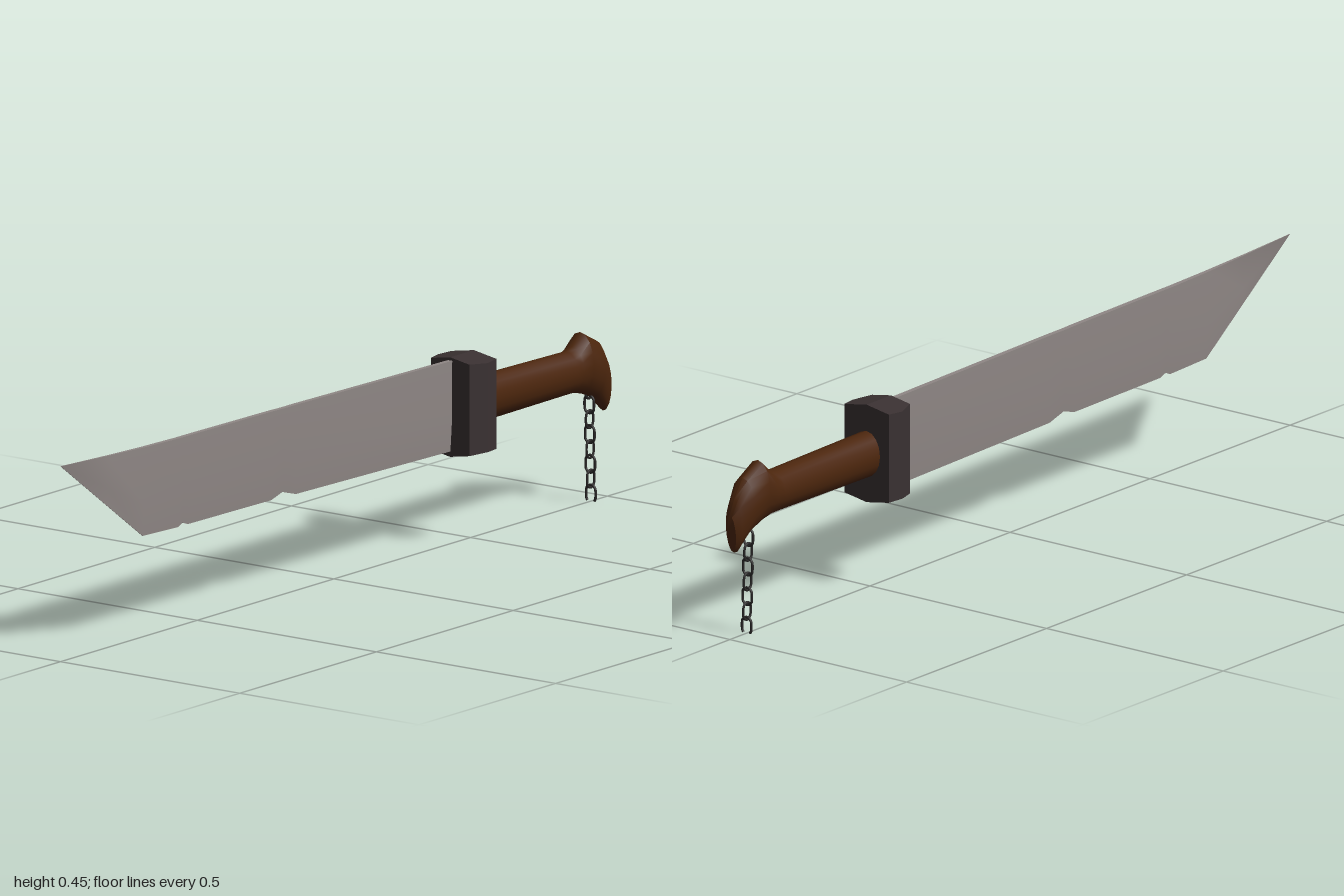
import * as THREE from 'three';
import { toCreasedNormals } from 'three/addons/utils/BufferGeometryUtils.js';

// Skins closed rings of [x, y, z] points (counter-clockwise seen from +z, listed from +z to -z).
function loft(rings, crease) {
  const n = rings[0].length;
  const index = [];
  for (let i = 0; i < rings.length - 1; i++) {
    for (let j = 0; j < n; j++) {
      const k = (j + 1) % n;
      const a = i * n + j, b = i * n + k, c = a + n, d = b + n;
      index.push(a, c, b, b, c, d);
    }
  }
  const last = (rings.length - 1) * n;
  for (let j = 1; j < n - 1; j++) {
    index.push(0, j, j + 1);
    index.push(last, last + j + 1, last + j);
  }
  const geometry = new THREE.BufferGeometry();
  geometry.setAttribute('position', new THREE.Float32BufferAttribute(rings.flat(2), 3));
  geometry.setIndex(index);
  return toCreasedNormals(geometry, crease);
}

// Oval chain link in the XY plane; a broken link keeps only its upper part.
function linkGeometry(broken) {
  const points = [];
  const steps = 20, r = 0.013, straight = 0.007;
  const from = broken ? -0.75 : 0;
  const sweep = broken ? Math.PI + 1.5 : Math.PI * 2;
  const count = broken ? steps + 1 : steps;
  for (let i = 0; i < count; i++) {
    const t = from + sweep * i / steps;
    points.push(new THREE.Vector3(r * Math.cos(t), r * Math.sin(t) + straight * Math.sign(Math.sin(t)), 0));
  }
  const path = new THREE.CatmullRomCurve3(points, !broken);
  return new THREE.TubeGeometry(path, 28, 0.003, 6, !broken);
}

export function createModel() {
  const steel = new THREE.MeshStandardMaterial({ name: 'steel', color: 0x8f8785 });
  const iron = new THREE.MeshStandardMaterial({ name: 'dark iron', color: 0x3a3132 });
  const wood = new THREE.MeshStandardMaterial({ name: 'brown wood', color: 0x4c260d });
  const chainMetal = new THREE.MeshStandardMaterial({ name: 'chain metal', color: 0x2c2a2a, side: THREE.DoubleSide });

  const model = new THREE.Group();
  model.name = 'machete';
  const add = (name, geometry, material, parent = model) => {
    const mesh = new THREE.Mesh(geometry, material);
    mesh.name = name;
    parent.add(mesh);
    return mesh;
  };

  // Blade stations: z, spine y, edge y, half thickness
  const blade = [
    [1.0, 0.448, 0.447, 0.0005],
    [0.83, 0.44, 0.325, 0.003],
    [0.7, 0.435, 0.232, 0.005],
    [0.57, 0.432, 0.228, 0.006],
    [0.555, 0.432, 0.235, 0.006],
    [0.535, 0.432, 0.228, 0.006],
    [0.23, 0.429, 0.225, 0.006],
    [0.19, 0.428, 0.236, 0.006],
    [0.165, 0.428, 0.229, 0.006],
    [0.14, 0.428, 0.222, 0.006],
    [-0.45, 0.42, 0.212, 0.006],
  ].map(([z, top, edge, w]) => {
    const mid = edge + (top - edge) * 0.35;
    return [
      [w * 0.15, edge, z], [w * 0.9, mid, z], [w, top - 0.0005, z],
      [-w, top - 0.0005, z], [-w * 0.9, mid, z], [-w * 0.15, edge, z],
    ];
  });
  add('blade', loft(blade, 0.5), steel);

  // Faceted guard with peaked top and bottom
  const guard = [[-0.425, 0.054], [-0.472, 0.07], [-0.512, 0.063]].map(([z, w]) => {
    const drop = 0.012 * w / 0.07;
    return [
      [w, 0.2 + drop, z], [w, 0.427 - drop, z], [0, 0.427, z],
      [-w, 0.427 - drop, z], [-w, 0.2 + drop, z], [0, 0.2, z],
    ];
  });
  add('guard', loft(guard, 0.1), iron);

  // Grip and hooked pommel: top z, top y, bottom z, bottom y, half width
  const sides = 16;
  const handle = [
    [-0.5, 0.366, -0.5, 0.26, 0.038],
    [-0.85, 0.36, -0.84, 0.263, 0.037],
    [-0.87, 0.367, -0.87, 0.262, 0.036],
    [-0.9, 0.395, -0.905, 0.254, 0.038],
    [-0.955, 0.367, -0.945, 0.238, 0.035],
    [-0.985, 0.325, -0.984, 0.2, 0.024],
    [-1.0, 0.29, -0.99, 0.204, 0.013],
  ].map(([tz, ty, bz, by, w]) => {
    const ring = [];
    for (let j = 0; j < sides; j++) {
      const t = j / sides * Math.PI * 2;
      const f = (Math.sin(t) + 1) / 2;
      ring.push([w * Math.cos(t), by + (ty - by) * f, bz + (tz - bz) * f]);
    }
    return ring;
  });
  add('handle', loft(handle, 0.7), wood);

  // Hanging chain: alternate links turned a quarter, the lowest one broken
  const chain = new THREE.Group();
  chain.name = 'chain';
  model.add(chain);
  const whole = linkGeometry(false);
  const broken = linkGeometry(true);
  const links = 8;
  for (let i = 0; i < links; i++) {
    const end = i === links - 1;
    const link = add(end ? 'brokenLink' : 'chainLink', end ? broken : whole, chainMetal, chain);
    link.position.set(0, 0.258 - i * 0.0341, -0.933 - i * 0.001);
    if (i % 2 === 0) link.rotation.y = Math.PI / 2;
  }
  return model;
}
